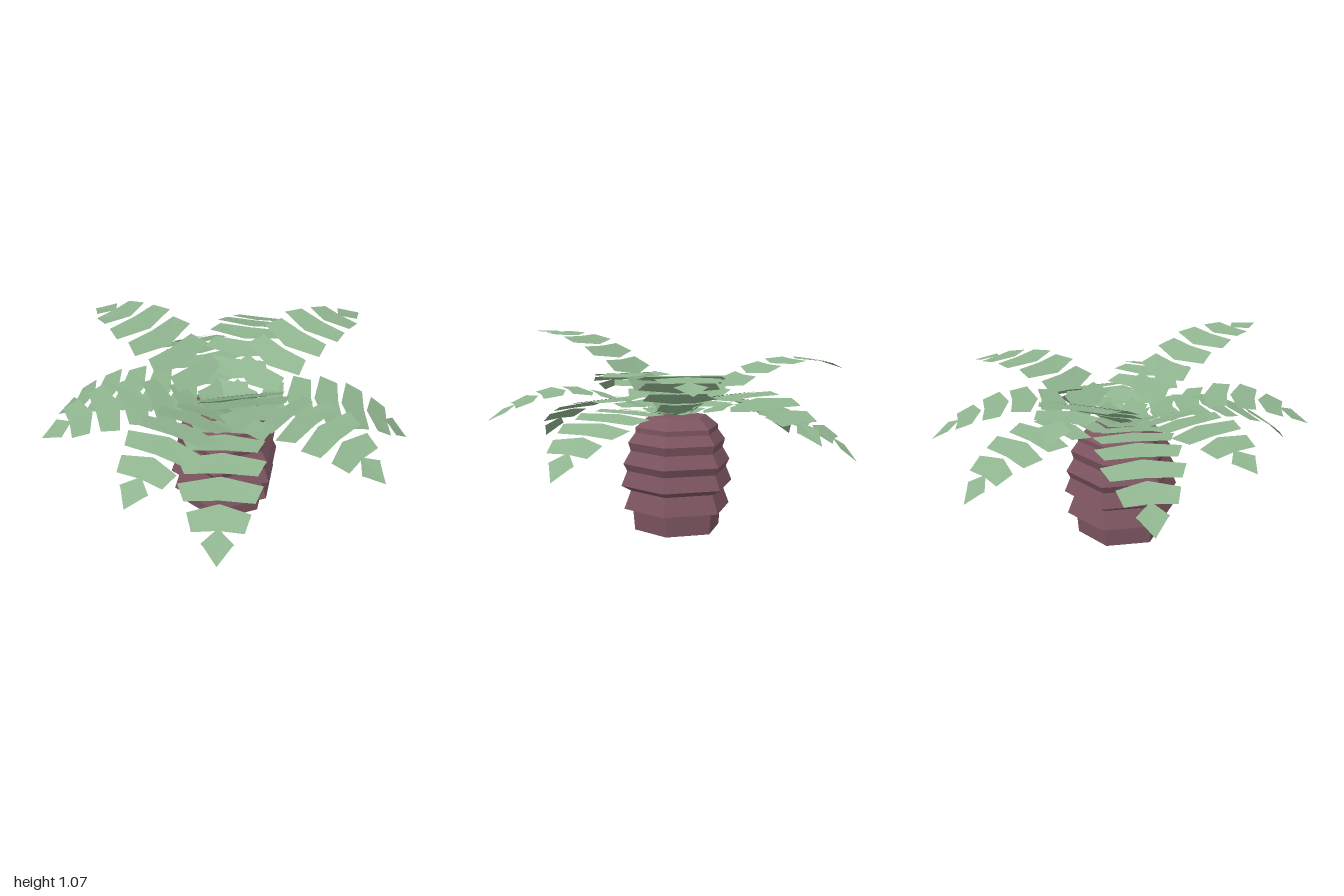
import * as THREE from 'three';

const leafMat = new THREE.MeshStandardMaterial({ color: 0x8fb48f, flatShading: true, side: THREE.DoubleSide });
const trunkMat = new THREE.MeshStandardMaterial({ color: 0x7d5561, flatShading: true });

// Six-sided trunk with stepped rings
function makeTrunk() {
  const profile = [
    [0, 0], [0.24, 0], [0.25, 0.11], [0.3, 0.12], [0.262, 0.22], [0.315, 0.25], [0.282, 0.33],
    [0.303, 0.37], [0.262, 0.44], [0.276, 0.485], [0.235, 0.54], [0.235, 0.567], [0.162, 0.625], [0, 0.625],
  ].map(([r, y]) => new THREE.Vector2(r, y));
  // phi start puts corners on the x axis
  const mesh = new THREE.Mesh(new THREE.LatheGeometry(profile, 6, Math.PI / 2), trunkMat);
  mesh.name = 'trunk';
  mesh.position.x = -0.02;
  return mesh;
}

// Arching frond: a chain of flat swept leaflet pairs along a curve of [radius, height] points
const halfWidths = [0.1, 0.18, 0.21, 0.22, 0.21, 0.155, 0.08];
function makeFrond(degrees, points) {
  const a = THREE.MathUtils.degToRad(degrees);
  const curve = new THREE.SplineCurve([[0.02, 0.63], ...points].map(([r, y]) => new THREE.Vector2(r, y)));
  const at = (u, w) => {
    const p = curve.getPointAt(Math.min(u, 1));
    return [p.x * Math.cos(a) - w * Math.sin(a), p.y, p.x * Math.sin(a) + w * Math.cos(a)];
  };
  const pos = [];
  const n = halfWidths.length;
  halfWidths.forEach((w, i) => {
    const tip = i === n - 1;
    const u = (f) => (i + f) / n;
    for (const s of [-1, 1]) {
      const back = at(u(tip ? -0.2 : 0), 0);
      const sideBack = at(u(tip ? 0.3 : 0.32), s * w);
      const sideFront = at(u(tip ? 0.4 : 0.95), s * w * 0.82);
      const front = at(u(tip ? 1 : 0.88), 0);
      // keep the faces pointing up on both halves
      const quad = s > 0 ? [back, sideBack, sideFront, front] : [back, front, sideFront, sideBack];
      for (const k of [0, 1, 2, 0, 2, 3]) pos.push(...quad[k]);
    }
  });
  const geo = new THREE.BufferGeometry();
  geo.setAttribute('position', new THREE.Float32BufferAttribute(pos, 3));
  geo.computeVertexNormals();
  const mesh = new THREE.Mesh(geo, leafMat);
  mesh.name = 'frond';
  return mesh;
}

export function createModel() {
  const group = new THREE.Group();
  group.name = 'pottedPalm';
  group.add(makeTrunk());

  const fronds = new THREE.Group();
  fronds.name = 'fronds';
  const droop = [[0.3, 0.68], [0.55, 0.67], [0.82, 0.57], [0.99, 0.42]];
  const list = [
    [0, [[0.25, 0.71], [0.55, 0.78], [0.8, 0.735], [1, 0.63]]],
    [40, [[0.2, 0.83], [0.33, 0.93], [0.5, 1.02], [0.66, 1.06], [0.88, 1.07]]],
    [53, droop],
    [79, [[0.25, 0.74], [0.55, 0.81], [0.8, 0.765], [0.99, 0.67]]],
    [122, [[0.25, 0.72], [0.52, 0.77], [0.78, 0.74], [1, 0.65]]],
    [152, droop],
    [180, [[0.25, 0.76], [0.5, 0.88], [0.7, 0.92], [0.85, 0.91], [1, 0.86]]],
    [212, droop],
    [243, [[0.25, 0.74], [0.55, 0.78], [0.85, 0.69], [1.02, 0.58]]],
    [280.5, [[0.25, 0.76], [0.47, 0.87], [0.66, 0.9], [0.85, 0.88], [0.99, 0.84]]],
    [320.5, droop],
  ];
  for (const [deg, pts] of list) fronds.add(makeFrond(deg, pts));
  group.add(fronds);
  return group;
}
